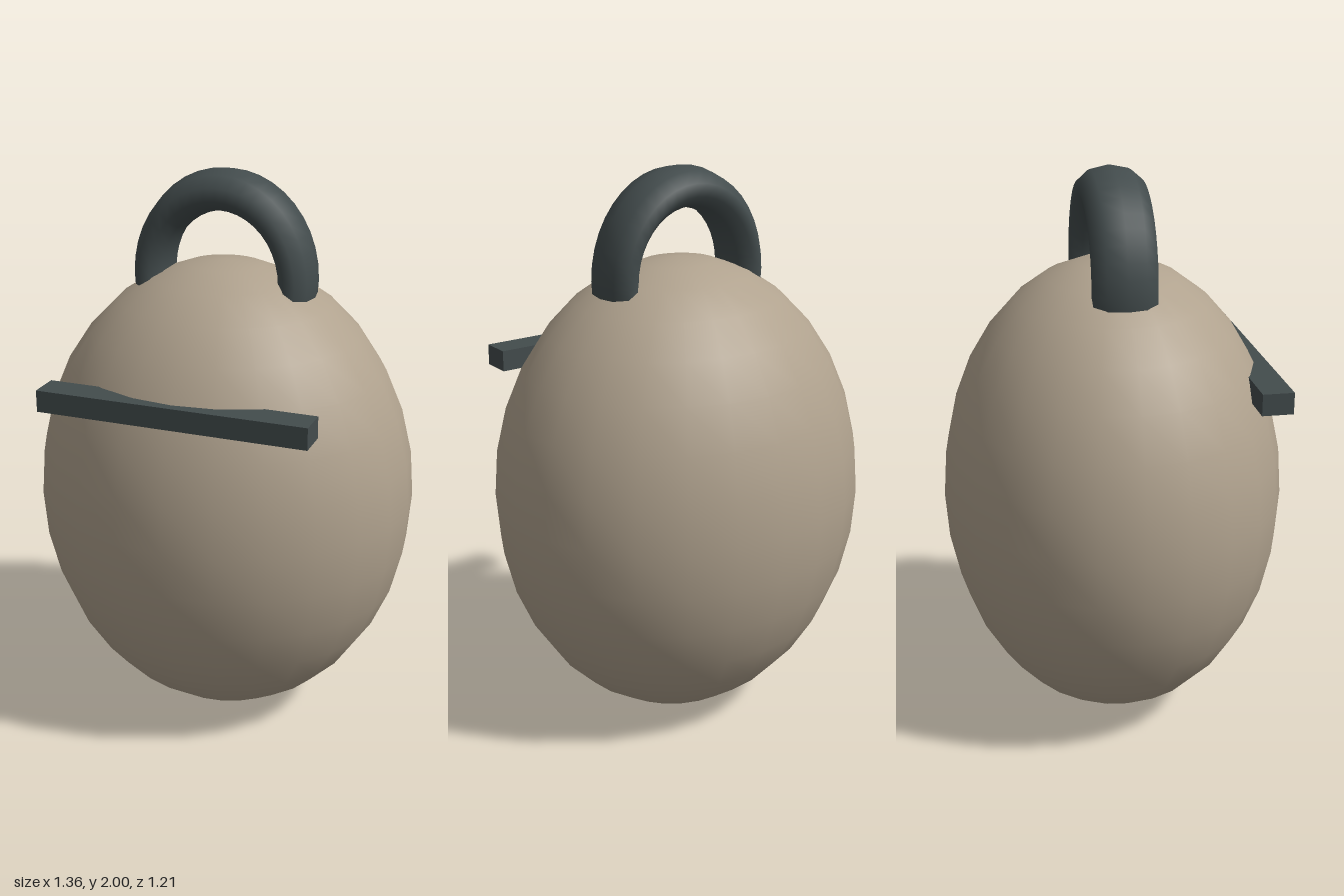
import * as THREE from 'three';

export function createModel() {
  const model = new THREE.Group();
  const tan = new THREE.MeshStandardMaterial({ color: 0xb0a28e });
  tan.name = 'warm tan';
  const dark = new THREE.MeshStandardMaterial({ color: 0x434c4d });
  dark.name = 'dark slate';

  const add = (name, geometry, material, x, y, z) => {
    const mesh = new THREE.Mesh(geometry, material);
    mesh.name = name;
    mesh.position.set(x, y, z);
    model.add(mesh);
    return mesh;
  };

  // Egg-shaped body
  add('body', new THREE.SphereGeometry(1, 24, 16), tan, 0, 0.847, 0).scale.set(0.68, 0.843, 0.605);

  // Broad loop on top, its ends sunk into the body
  const arc = Math.PI * 1.4;
  const loop = new THREE.TorusGeometry(0.262, 0.063, 10, 28, arc);
  loop.rotateZ((Math.PI - arc) / 2);
  add('handle', loop, dark, 0, 1.63, 0).scale.set(1, 1.14, 1.8);

  // Straight bar across the front
  add('frontBar', new THREE.BoxGeometry(0.94, 0.075, 0.108), dark, 0, 1.292, 0.473);

  return model;
}
